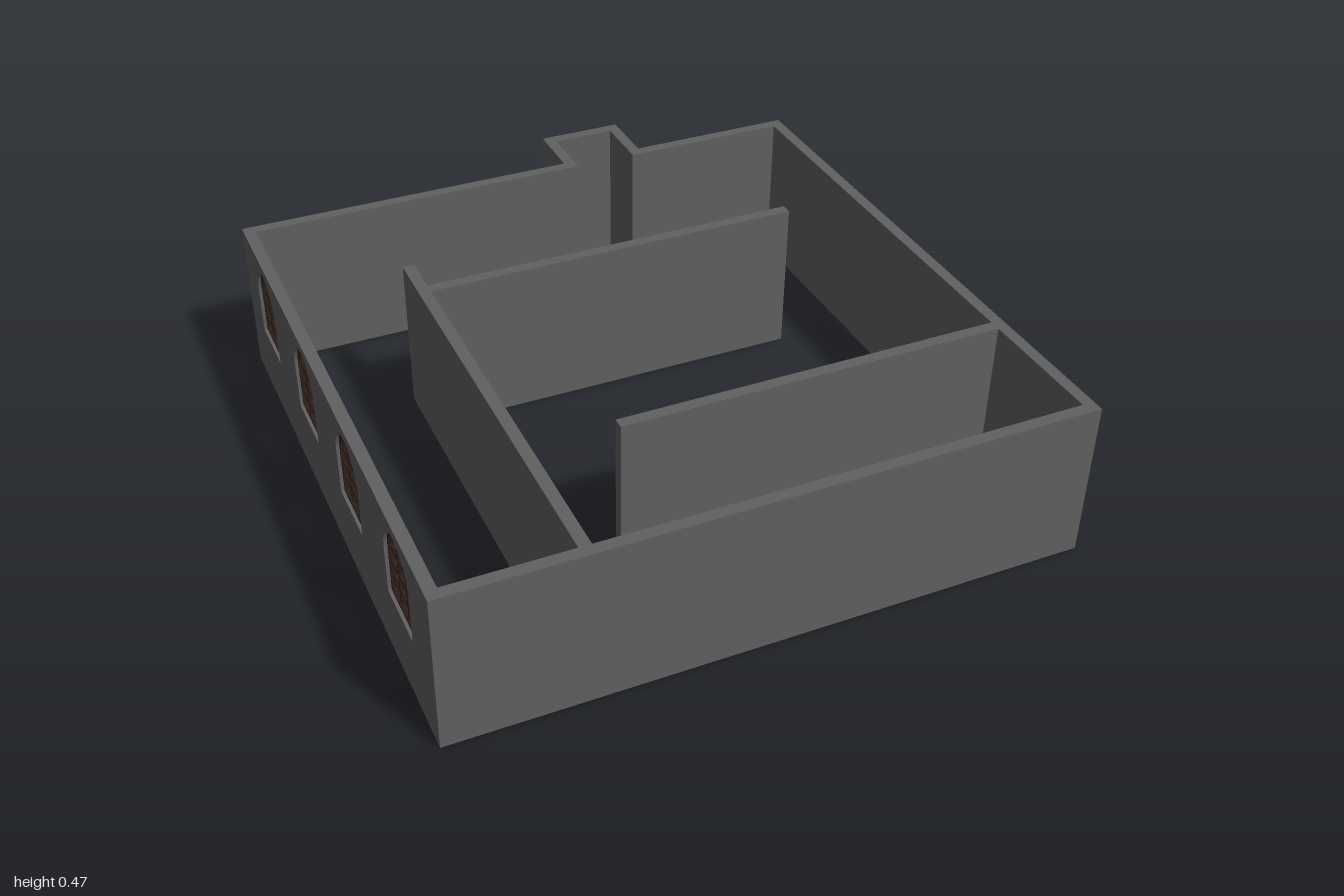
import * as THREE from 'three';

const H = 0.475;             // wall height
const T = 0.035;             // wall thickness
const X = 0.92;              // half width of the building
const BACK = -0.81;          // outer face of the back wall
const SILL = 0.2, R = 0.1, SPRING = 0.345; // arched window measures
const WINDOWS = [-0.56, -0.13, 0.3, 0.73]; // window centres along z

// Traces a round-headed window outline, shrunk by an inset
function arch(path, cx, inset) {
  const r = R - inset;
  path.moveTo(cx - r, SILL + inset);
  path.lineTo(cx + r, SILL + inset);
  path.lineTo(cx + r, SPRING);
  path.absarc(cx, SPRING, r, 0, Math.PI, false);
  path.closePath();
  return path;
}

// Extrudes a (z, y) outline into a slab whose inner face is at x
function slab(shape, depth, x) {
  const g = new THREE.ExtrudeGeometry(shape, { depth, bevelEnabled: false, curveSegments: 16 });
  return g.rotateY(-Math.PI / 2).translate(x, 0, 0);
}

export function createModel() {
  const model = new THREE.Group();
  model.name = 'floorPlan';
  const wallMat = new THREE.MeshStandardMaterial({ color: 0x606060 });
  wallMat.name = 'wall grey';
  const frameMat = new THREE.MeshStandardMaterial({ color: 0x2e1d17 });
  frameMat.name = 'window dark brown';

  const add = (name, geometry, material, parent = model) => {
    const mesh = new THREE.Mesh(geometry, material);
    mesh.name = name;
    parent.add(mesh);
  };

  // Plain walls given by their footprint: x0, x1, z0, z1
  const walls = {
    frontWall: [-X, X, 1 - T, 1],
    leftWall: [X - T, X, BACK + T, 1 - T],
    backWallLeft: [0.4, X, BACK, BACK + T],
    backWallRight: [-X, 0.137, BACK, BACK + T],
    alcoveLeftWall: [0.4 - T, 0.4, -1 + T, BACK + T],
    alcoveRightWall: [0.137, 0.137 + T, -1 + T, BACK + T],
    alcoveBackWall: [0.137, 0.4, -1, -1 + T],
    corridorWall: [-0.538, -0.503, -0.4, 1 - T],
    rearPartition: [-0.503, 0.66, -0.277, -0.242],
    frontPartition: [-0.26, X - T, 0.538, 0.573],
  };
  for (const [name, [x0, x1, z0, z1]] of Object.entries(walls)) {
    const g = new THREE.BoxGeometry(x1 - x0, H, z1 - z0);
    add(name, g.translate((x0 + x1) / 2, H / 2, (z0 + z1) / 2), wallMat);
  }

  // Right wall pierced by the arched openings
  const wall = new THREE.Shape();
  wall.moveTo(BACK + T, 0);
  wall.lineTo(1 - T, 0);
  wall.lineTo(1 - T, H);
  wall.lineTo(BACK + T, H);
  wall.closePath();
  for (const z of WINDOWS) wall.holes.push(arch(new THREE.Path(), z, 0));
  add('windowWall', slab(wall, T, -X + T), wallMat);

  // Window frames and glazing bars
  const xMid = -X + T / 2, bar = 0.008, inset = 0.008;
  for (const z of WINDOWS) {
    const win = new THREE.Group();
    win.name = 'archedWindow';
    model.add(win);
    const ring = arch(new THREE.Shape(), z, 0);
    ring.holes.push(arch(new THREE.Path(), z, inset));
    add('windowFrame', slab(ring, 0.016, xMid + 0.008), frameMat, win);

    for (const dz of [-0.033, 0.033]) {
      const top = SPRING + Math.sqrt((R - inset / 2) ** 2 - dz * dz);
      const g = new THREE.BoxGeometry(bar, top - SILL, bar);
      add('uprightBar', g.translate(xMid, (top + SILL) / 2, z + dz), frameMat, win);
    }
    for (const y of [0.25, 0.3, 0.35, 0.4]) {
      const rise = Math.max(0, y - SPRING);
      const half = Math.sqrt((R - inset / 2) ** 2 - rise * rise);
      const g = new THREE.BoxGeometry(bar * 0.9, bar, half * 2);
      add('crossBar', g.translate(xMid, y, z), frameMat, win);
    }
  }
  return model;
}
